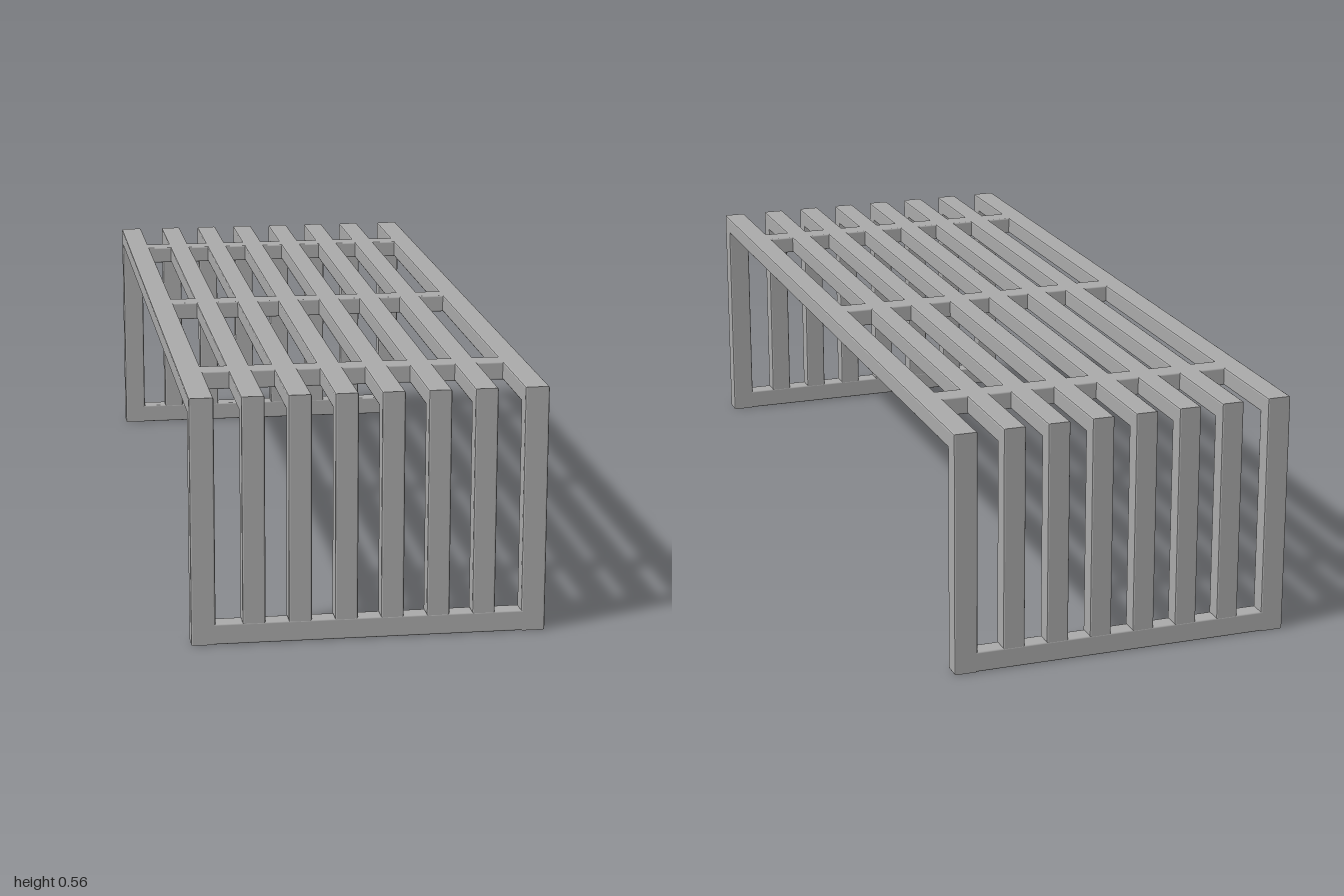
import * as THREE from 'three';
import { RoundedBoxGeometry } from 'three/addons/geometries/RoundedBoxGeometry.js';

const HEIGHT = 0.565, HALF_LENGTH = 1, HALF_WIDTH = 0.4;
const THICK = 0.042, RAIL = 0.055, FOOT = 0.048, BEVEL = 0.004;

// Bent bar: a U profile in the z-y plane, extruded across x with softened edges
function bentBar(width, bottom) {
  const o = HALF_LENGTH, i = o - THICK, top = HEIGHT, under = HEIGHT - THICK;
  const shape = new THREE.Shape([
    [-o, bottom], [-i, bottom], [-i, under], [i, under],
    [i, bottom], [o, bottom], [o, top], [-o, top],
  ].map(([z, y]) => new THREE.Vector2(z, y)));
  const depth = width - 2 * BEVEL;
  return new THREE.ExtrudeGeometry(shape, {
    depth, bevelEnabled: true, bevelThickness: BEVEL,
    bevelSize: BEVEL, bevelOffset: -BEVEL, bevelSegments: 2,
  }).translate(0, 0, -depth / 2).rotateY(-Math.PI / 2);
}

export function createModel() {
  const model = new THREE.Group();
  model.name = 'slattedBench';
  const grey = new THREE.MeshStandardMaterial({ color: 0xaaaaaa });
  grey.name = 'grey';

  const add = (name, geometry, x, y, z) => {
    const mesh = new THREE.Mesh(geometry, grey);
    mesh.name = name;
    mesh.position.set(x, y, z);
    model.add(mesh);
  };

  // Outer frames reach the floor
  const frame = bentBar(RAIL, 0);
  add('leftFrame', frame, HALF_WIDTH - RAIL / 2, 0, 0);
  add('rightFrame', frame, -HALF_WIDTH + RAIL / 2, 0, 0);

  // Six inner slats stop on the foot rails
  const slat = bentBar(0.052, FOOT - BEVEL / 2);
  for (let i = 0; i < 6; i++) add(`slat${i + 1}`, slat, (i - 2.5) * 0.1037, 0, 0);

  // Foot rails join the legs at both ends
  const inner = 2 * (HALF_WIDTH - RAIL) + 0.03;
  const foot = new RoundedBoxGeometry(inner, FOOT, THICK, 2, BEVEL);
  add('frontFootRail', foot, 0, FOOT / 2, HALF_LENGTH - THICK / 2);
  add('backFootRail', foot, 0, FOOT / 2, -HALF_LENGTH + THICK / 2);

  // Cross bars tie the seat slats together
  const bar = new RoundedBoxGeometry(inner, THICK, RAIL, 2, BEVEL);
  for (const [name, z] of [['front', 0.732], ['middle', 0], ['back', -0.732]])
    add(`${name}CrossBar`, bar, 0, HEIGHT - THICK / 2, z);

  return model;
}
